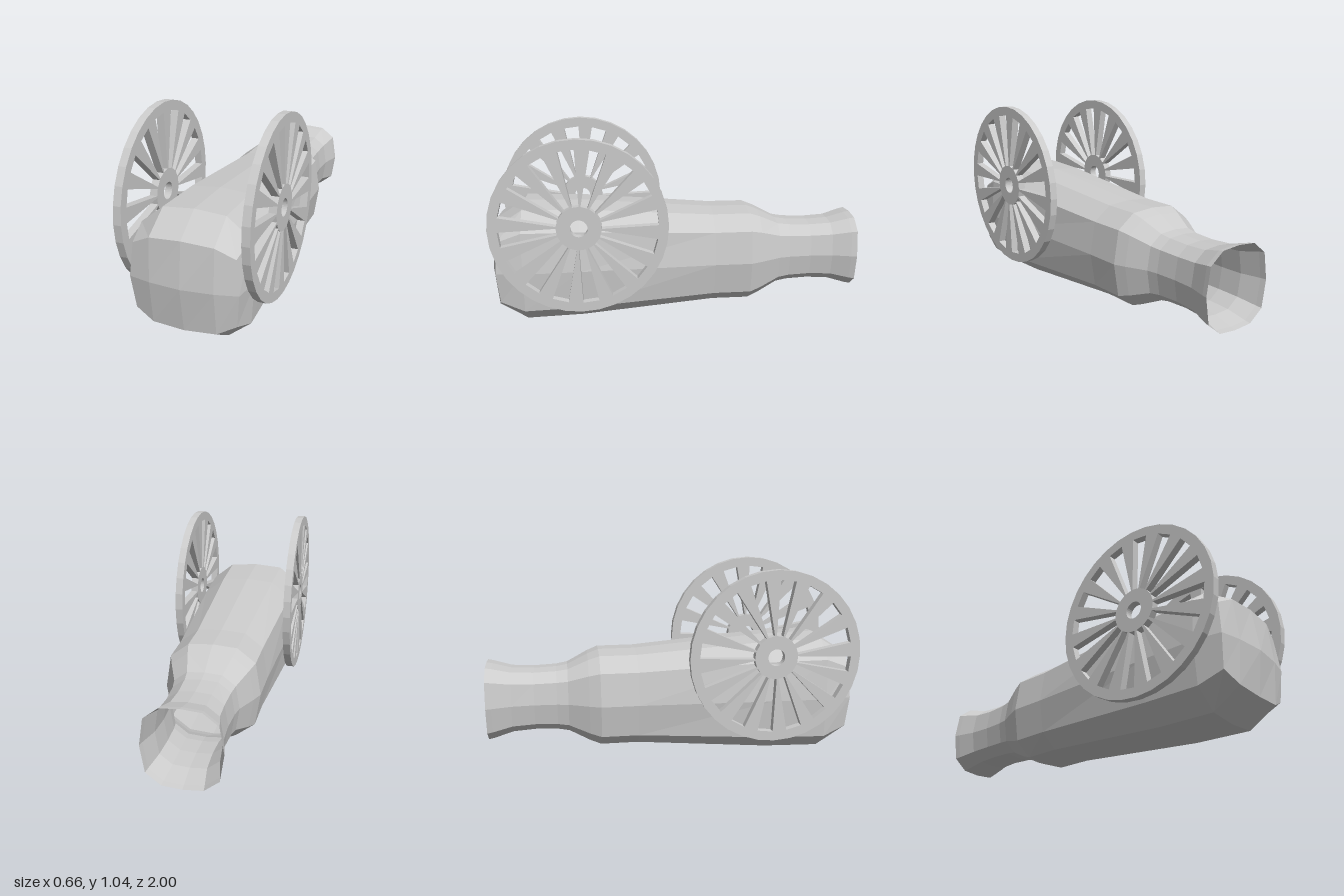
import * as THREE from 'three';

const material = new THREE.MeshStandardMaterial({ color: 0xcccccc, flatShading: true, side: THREE.DoubleSide });
const AXIS_Y = 0.322;

// Twelve-sided barrel section, anticlockwise seen from the front
function ring(z, w, h, a = 0.51, b = 0.89) {
  const quarter = [[1, 0], [b, 0.675], [a, 0.96], [0, 1], [-a, 0.96], [-b, 0.675]];
  return [...quarter, ...quarter.map(([x, y]) => [-x, -y])]
    .map(([x, y]) => [x * w, AXIS_Y + y * h, z]);
}

function barrelGeometry() {
  const positions = [];
  const quad = (a, b, c, d) => positions.push(...a, ...b, ...c, ...a, ...c, ...d);

  // Rounded breech face: three rows of five points
  const row = (s) => [-0.255, -0.16, 0, 0.16, 0.255].map((x, i) =>
    [x, AXIS_Y + s * [0.168, 0.216, 0.226, 0.216, 0.168][i], [0.945, 0.965, 0.97, 0.965, 0.945][i]]);
  const top = row(1), bottom = row(-1);
  const middle = [-0.272, -0.16, 0, 0.16, 0.272].map((x, i) => [x, AXIS_Y, [0.96, 0.985, 1, 0.985, 0.96][i]]);
  for (let i = 0; i < 4; i++) {
    quad(bottom[i], bottom[i + 1], middle[i + 1], middle[i]);
    quad(middle[i], middle[i + 1], top[i + 1], top[i]);
  }
  const face = [middle[4], ...[...top].reverse(), middle[0], ...bottom];

  // Breech, tapering body, shoulder, neck and flared open muzzle
  const rings = [
    face,
    ring(0.82, 0.292, 0.322, 0.545, 0.94),
    ring(0.52, 0.283, 0.315, 0.54, 0.93),
    ring(-0.2, 0.252, 0.258),
    ring(-0.4, 0.25, 0.258),
    ring(-0.46, 0.226, 0.235),
    ring(-0.57, 0.175, 0.18),
    ring(-0.63, 0.164, 0.17),
    ring(-0.75, 0.158, 0.165),
    ring(-0.87, 0.164, 0.172),
    ring(-0.97, 0.19, 0.2),
    ring(-1, 0.196, 0.206),
  ];
  for (let i = 0; i < rings.length - 1; i++) {
    for (let j = 0; j < 12; j++) {
      const k = (j + 1) % 12;
      quad(rings[i][j], rings[i + 1][j], rings[i + 1][k], rings[i][k]);
    }
  }
  const geometry = new THREE.BufferGeometry();
  geometry.setAttribute('position', new THREE.Float32BufferAttribute(positions, 3));
  geometry.computeVertexNormals();
  return geometry;
}

// Flat wheel with an axle hole and sixteen tapered windows between the spokes
function wheelGeometry() {
  const shape = new THREE.Shape().absarc(0, 0, 0.46, 0, Math.PI * 2);
  shape.holes.push(new THREE.Path().absarc(0, 0, 0.045, 0, Math.PI * 2, true));
  for (let i = 0; i < 16; i++) {
    const angle = THREE.MathUtils.degToRad(7 + i * 22.5);
    const corners = [[0.115, -0.018], [0.115, 0.018], [0.407, 0.042], [0.407, -0.042]];
    shape.holes.push(new THREE.Path(corners.map(([x, y]) =>
      new THREE.Vector2(x, y).rotateAround(new THREE.Vector2(), angle))));
  }
  return new THREE.ExtrudeGeometry(shape, { depth: 0.04, bevelEnabled: false, curveSegments: 16 })
    .rotateY(Math.PI / 2);
}

export function createModel() {
  const model = new THREE.Group();
  model.name = 'cannon';

  const barrel = new THREE.Mesh(barrelGeometry(), material);
  barrel.name = 'barrel';
  model.add(barrel);

  const wheel = wheelGeometry();
  for (const [name, x] of [['leftWheel', 0.29], ['rightWheel', -0.33]]) {
    const mesh = new THREE.Mesh(wheel, material);
    mesh.name = name;
    mesh.position.set(x, 0.577, 0.517);
    model.add(mesh);
  }
  return model;
}
